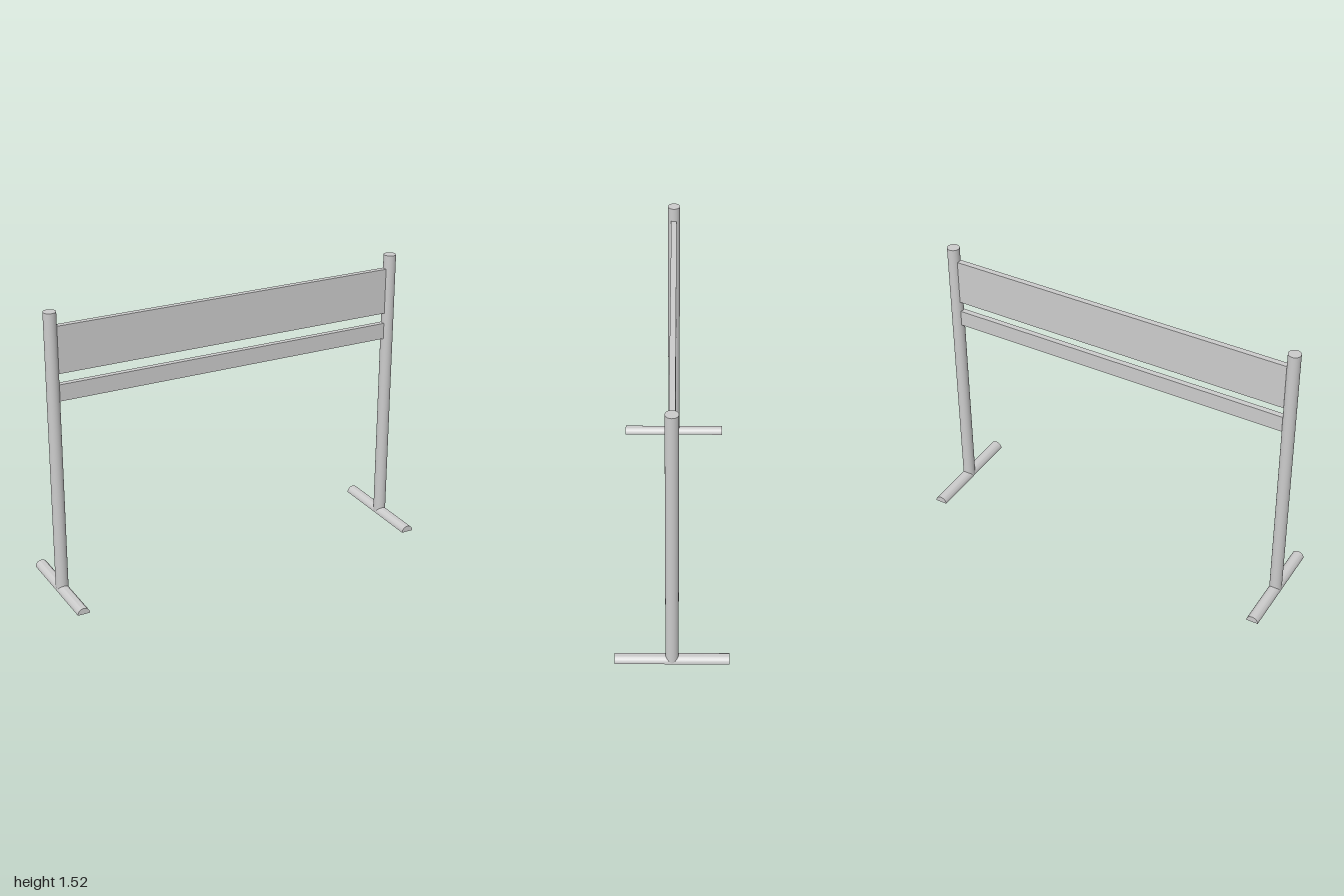
import * as THREE from 'three';
import { toCreasedNormals } from 'three/addons/utils/BufferGeometryUtils.js';

const R = 0.033;            // post and foot radius
const POST_X = 1 - R;       // post centre line
const HEIGHT = 1.52;
const FOOT_LENGTH = 0.576;

export function createModel() {
  const model = new THREE.Group();
  const material = new THREE.MeshStandardMaterial({ color: 0xcccccc });

  const add = (name, geometry, x, y, z) => {
    const mesh = new THREE.Mesh(geometry, material);
    mesh.name = name;
    mesh.position.set(x, y, z);
    model.add(mesh);
  };

  // Round posts, sunk just short of the foot's underside
  const sink = 0.004;
  const postGeometry = new THREE.CylinderGeometry(R, R, HEIGHT - sink, 40);

  // Half-round feet, flat side on the ground
  const halfRound = new THREE.Shape();
  halfRound.absarc(0, 0, R, 0, Math.PI, false);
  halfRound.closePath();
  const footGeometry = toCreasedNormals(
    new THREE.ExtrudeGeometry(halfRound, { depth: FOOT_LENGTH, bevelEnabled: false, curveSegments: 24 }),
    Math.PI / 5
  );

  for (const [side, s] of [['left', 1], ['right', -1]]) {
    add(side + 'Post', postGeometry, s * POST_X, (HEIGHT + sink) / 2, 0);
    add(side + 'Foot', footGeometry, s * POST_X, 0, -FOOT_LENGTH / 2);
  }

  // Boards spanning between the posts
  const board = (name, bottom, top) =>
    add(name, new THREE.BoxGeometry(2 * POST_X - R, top - bottom, 0.03), 0, (top + bottom) / 2, 0);
  board('upperBoard', 1.197, 1.445);
  board('lowerRail', 1.052, 1.14);

  return model;
}
